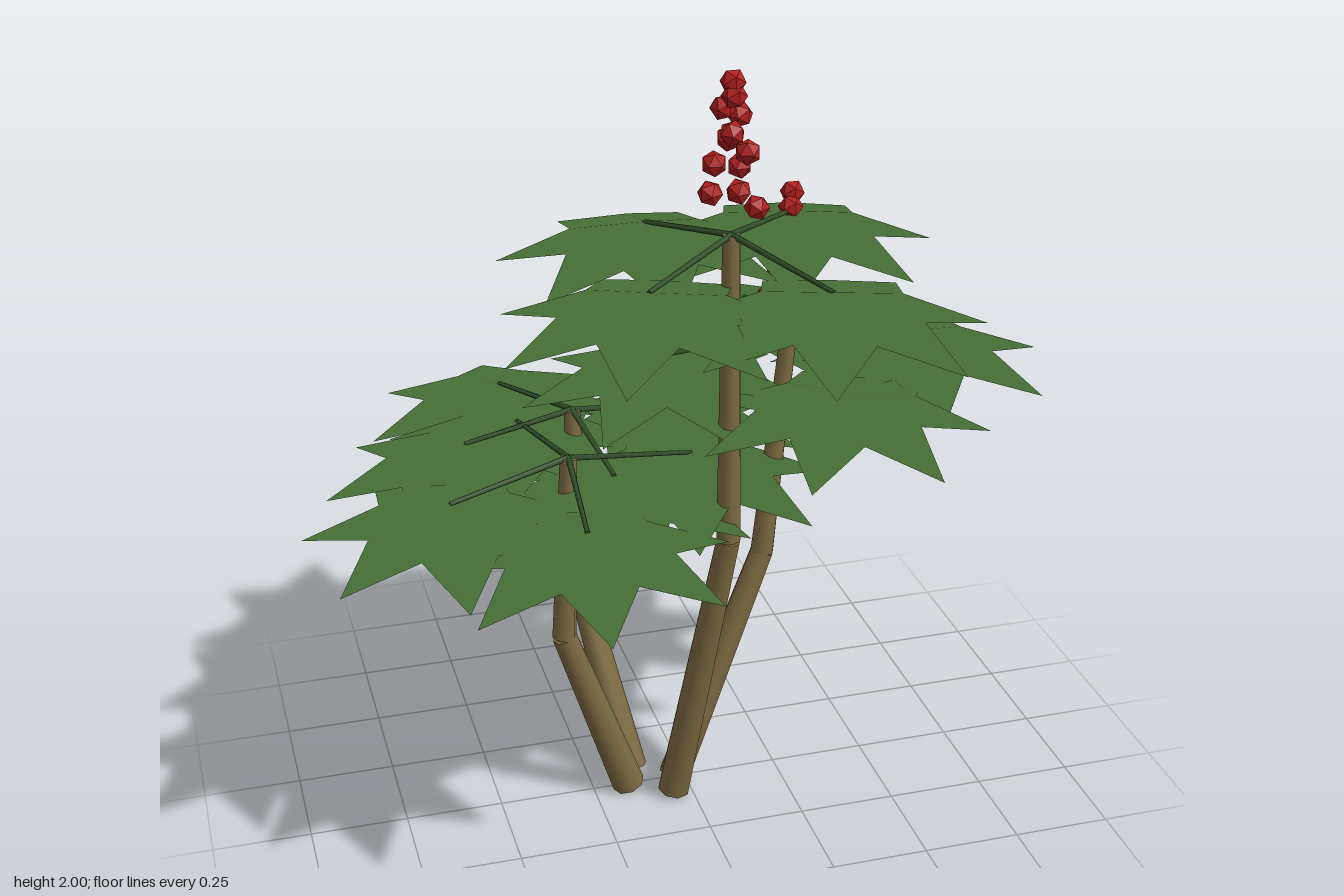
import * as THREE from 'three';

const mat = (name, color, side = THREE.FrontSide) => {
  const m = new THREE.MeshStandardMaterial({ color, side });
  m.name = name;
  return m;
};
const V = (p) => new THREE.Vector3(...p);

// Tapered rod between two points
function rod(name, a, b, ra, rb, sides, material) {
  const from = V(a), to = V(b), dir = to.clone().sub(from);
  const mesh = new THREE.Mesh(new THREE.CylinderGeometry(rb, ra, dir.length(), sides), material);
  mesh.position.copy(from).add(to).multiplyScalar(0.5);
  mesh.quaternion.setFromUnitVectors(new THREE.Vector3(0, 1, 0), dir.normalize());
  mesh.name = name;
  return mesh;
}

// Seven-pointed leaf drooping from its centre, shaded evenly
function leafGeometry() {
  const points = 7, pos = [0, 0, 0], normal = [0, 1, 0], index = [];
  for (let i = 0; i < points * 2; i++) {
    const a = (i * Math.PI) / points, tip = i % 2 === 0, r = tip ? 0.36 : 0.205;
    pos.push(r * Math.cos(a), tip ? -0.1 : -0.05, r * Math.sin(a));
    normal.push(0, 1, 0);
    index.push(0, ((i + 1) % (points * 2)) + 1, i + 1);
  }
  const g = new THREE.BufferGeometry();
  g.setAttribute('position', new THREE.Float32BufferAttribute(pos, 3));
  g.setAttribute('normal', new THREE.Float32BufferAttribute(normal, 3));
  g.setIndex(index);
  return g;
}

// Each cane: base, bend, top, and leaves as [x, z, angle of one tip in degrees]
const canes = [
  {
    name: 'tallCane', base: [-0.05, 0.015, 0.075], bend: [0.05, 0.82, 0.22], top: [0.05, 1.61, 0.22],
    leaves: [[0.19, 0.53, 108], [-0.2, 0.42, 61], [0.27, -0.01, 3], [-0.09, -0.03, 247]],
    berries: [[0.05, 1.97, 0.22], [0.05, 1.94, 0.23], [0.03, 1.91, 0.21], [0.07, 1.89, 0.21],
      [0.04, 1.86, 0.25], [0.05, 1.83, 0.19], [0.08, 1.81, 0.24], [0.01, 1.78, 0.21],
      [0.08, 1.76, 0.18], [0.05, 1.73, 0.27], [0.01, 1.7, 0.18], [0.11, 1.67, 0.22]],
  },
  {
    name: 'middleCane', base: [-0.03, 0.015, 0.01], bend: [0.215, 0.64, -0.02], top: [0.28, 1.25, -0.03],
    leaves: [[0.61, -0.03, -5], [0.31, 0.28, 17], [0.27, -0.37, 281], [-0.04, -0.05, 180]],
    berries: [[0.28, 1.61, -0.03], [0.27, 1.58, -0.01], [0.3, 1.53, -0.03], [0.27, 1.48, -0.05],
      [0.31, 1.44, 0], [0.24, 1.42, -0.01], [0.31, 1.39, -0.06], [0.28, 1.37, 0.03],
      [0.23, 1.34, -0.05], [0.34, 1.31, -0.02]],
  },
  {
    name: 'sideCane', base: [-0.16, 0.015, 0.02], bend: [-0.33, 0.51, 0.05], top: [-0.31, 1.015, 0.06],
    leaves: [[-0.62, 0.15, 145], [-0.34, 0.38, 95], [-0.37, -0.27, 160], [0.01, 0.03, 0]],
    berries: [],
  },
  {
    name: 'backCane', base: [-0.135, 0.015, -0.05], bend: [-0.225, 0.5, -0.23], top: [-0.23, 1.0, -0.245],
    leaves: [[-0.36, -0.55, 273], [-0.52, -0.2, 176], [0.04, -0.3, 284], [-0.2, 0.08, 90]],
    berries: [],
  },
];

export function createModel() {
  const bark = mat('bark brown', 0x7d6b42);
  const green = mat('leaf green', 0x467036, THREE.DoubleSide);
  const stalkGreen = mat('stalk green', 0x33522a);
  const red = mat('berry red', 0xb01e1e);
  const leafGeo = leafGeometry();
  const berryGeo = new THREE.IcosahedronGeometry(0.031, 0);
  const model = new THREE.Group();
  model.name = 'shrub';

  for (const c of canes) {
    const cane = new THREE.Group();
    cane.name = c.name;
    model.add(cane);

    // Bent woody stem
    cane.add(rod('lowerStem', c.base, c.bend, 0.043, 0.031, 8, bark));
    cane.add(rod('upperStem', c.bend, c.top, 0.031, 0.022, 8, bark));

    // Leaves on thin stalks
    for (const [x, z, tip] of c.leaves) {
      const end = [x, c.top[1] - 0.04, z];
      cane.add(rod('leafStalk', c.top, end, 0.008, 0.006, 5, stalkGreen));
      const leaf = new THREE.Mesh(leafGeo, green);
      leaf.name = 'leaf';
      leaf.position.set(...end);
      leaf.rotation.y = -THREE.MathUtils.degToRad(tip);
      cane.add(leaf);
    }

    // Berry spike
    c.berries.forEach((p, i) => {
      const berry = new THREE.Mesh(berryGeo, red);
      berry.name = 'berry';
      berry.position.set(...p);
      berry.rotation.y = i * 0.2;
      cane.add(berry);
    });
  }
  return model;
}
